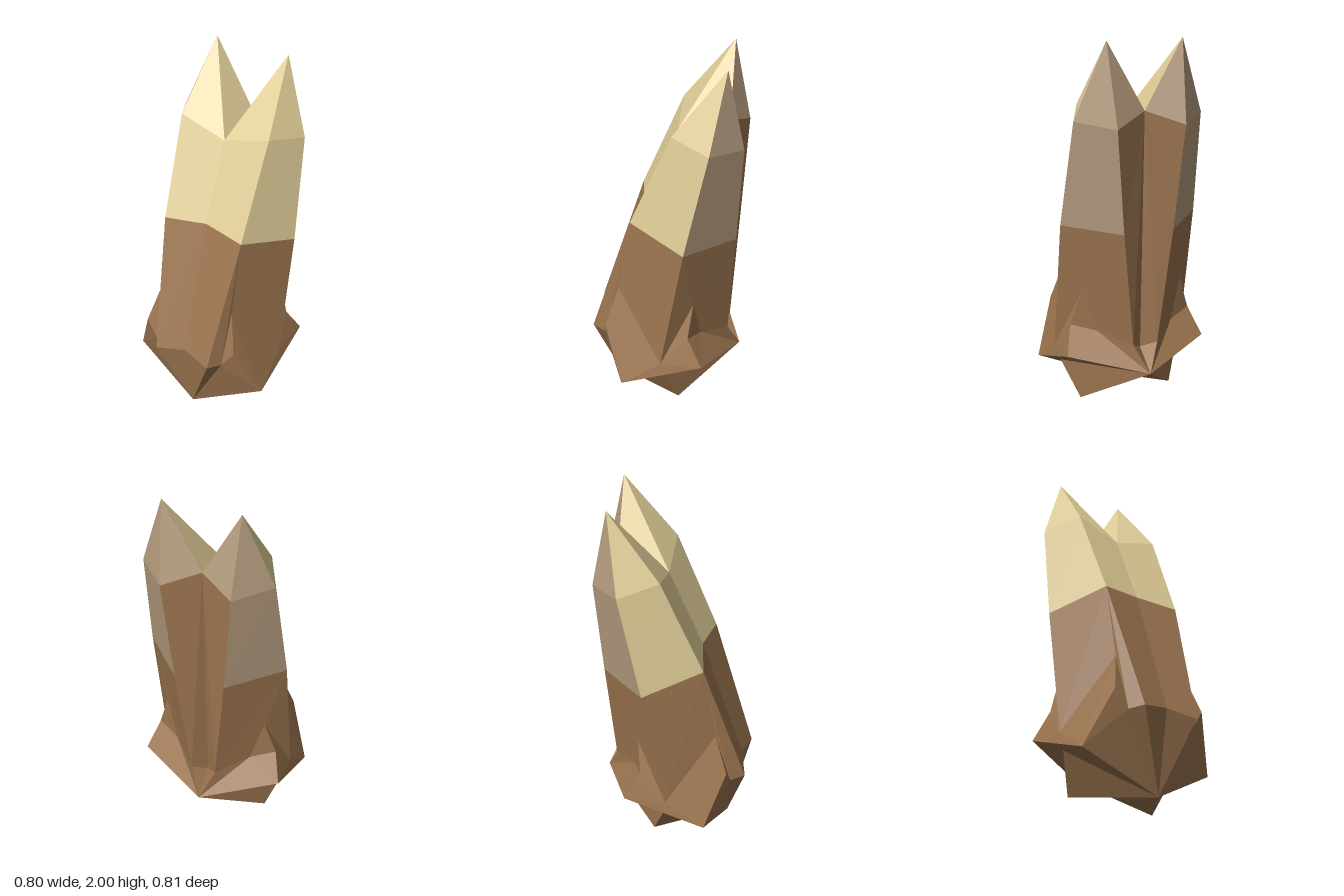
import * as THREE from 'three';

// Corner points of the +x half
const V = {
  tip: [0.21, 2, -0.31],
  // centre line: front notch and crease, back notch and groove
  NF: [0, 1.57, -0.04], C1: [0, 1.15, 0.14], C2: [0, 0.44, 0.375],
  G0: [0, 1.64, -0.31], G2: [0, 0.36, -0.27],
  // front, outer and back edges, from top to bottom
  A0: [0.26, 1.65, -0.04], A1: [0.235, 1.13, 0.18], A2: [0.165, 0.41, 0.41],
  O0: [0.36, 1.6, -0.24], O1: [0.39, 1.04, -0.12], O2: [0.385, 0.34, 0],
  D0: [0.19, 1.57, -0.4], D1: [0.14, 1.02, -0.37], D2: [0.07, 0.4, -0.335],
  // front thorn
  P: [0.225, 0.71, 0.25], Q: [0.28, 0.5, 0.32], R: [0.21, 0.4, 0.335], S: [0.4, 0.2, 0.215],
  // back thorn
  P2: [0.29, 0.68, -0.165], Q2: [0.35, 0.497, -0.143], R2: [0.22, 0.46, -0.2], T: [0.4, 0.35, -0.225],
  // underside
  B: [0, 0, 0.3], K: [0, 0.25, -0.4], M: [0.355, 0.25, -0.01], N: [0.27, 0.04, -0.085],
};

// Triangulates each polygon as a fan from its first corner and mirrors it in x
function facets(polygons) {
  const pos = [];
  for (const polygon of polygons) {
    const p = polygon.split(' ').map((k) => V[k]);
    for (let i = 1; i < p.length - 1; i++) {
      const tri = [p[0], p[i], p[i + 1]];
      pos.push(...tri.flat());
      for (const [x, y, z] of tri.reverse()) pos.push(-x, y, z);
    }
  }
  const g = new THREE.BufferGeometry();
  g.setAttribute('position', new THREE.Float32BufferAttribute(pos, 3));
  g.computeVertexNormals();
  return g;
}

function paint(name, color) {
  const m = new THREE.MeshStandardMaterial({ color, flatShading: true, side: THREE.DoubleSide });
  m.name = name;
  return m;
}

export function createModel() {
  const cream = paint('cream', 0xe0cd97);
  const taupe = paint('taupe', 0xb79e80);
  const brown = paint('brown', 0x9c7550);

  const group = new THREE.Group();
  group.name = 'clovenClaw';
  const add = (name, material, polygons) => {
    const mesh = new THREE.Mesh(facets(polygons), material);
    mesh.name = name;
    group.add(mesh);
  };

  // Pale twin points, front and sides
  add('pointFront', cream, ['NF C1 A1 A0', 'NF A0 tip', 'A0 A1 O1 O0', 'A0 O0 tip']);
  add('notch', cream, ['tip G0 NF']);
  // Back of the twin points
  add('pointBack', taupe, ['O0 O1 D1 D0', 'O0 D0 tip', 'tip D0 G0']);
  // Shaft with a groove down the back
  add('shaft', brown, ['C1 C2 A2 A1', 'A1 A2 R P O2 O1', 'O1 O2 P2 R2 D2 D1']);
  add('backGroove', brown, ['G0 D0 D1 D2 G2']);
  // Jagged base with two thorns on each side
  add('frontThorn', brown, ['P R Q', 'R B S Q', 'P Q S']);
  add('backThorn', brown, ['P2 Q2 R2', 'Q2 T R2', 'T K R2']);
  add('basePanel', brown, ['O2 P S T Q2 P2', 'C2 B A2', 'A2 B R', 'R2 K D2', 'D2 K G2']);
  add('underside', brown, ['M K T S', 'S B M', 'B N M', 'M N K', 'N B K']);
  return group;
}
